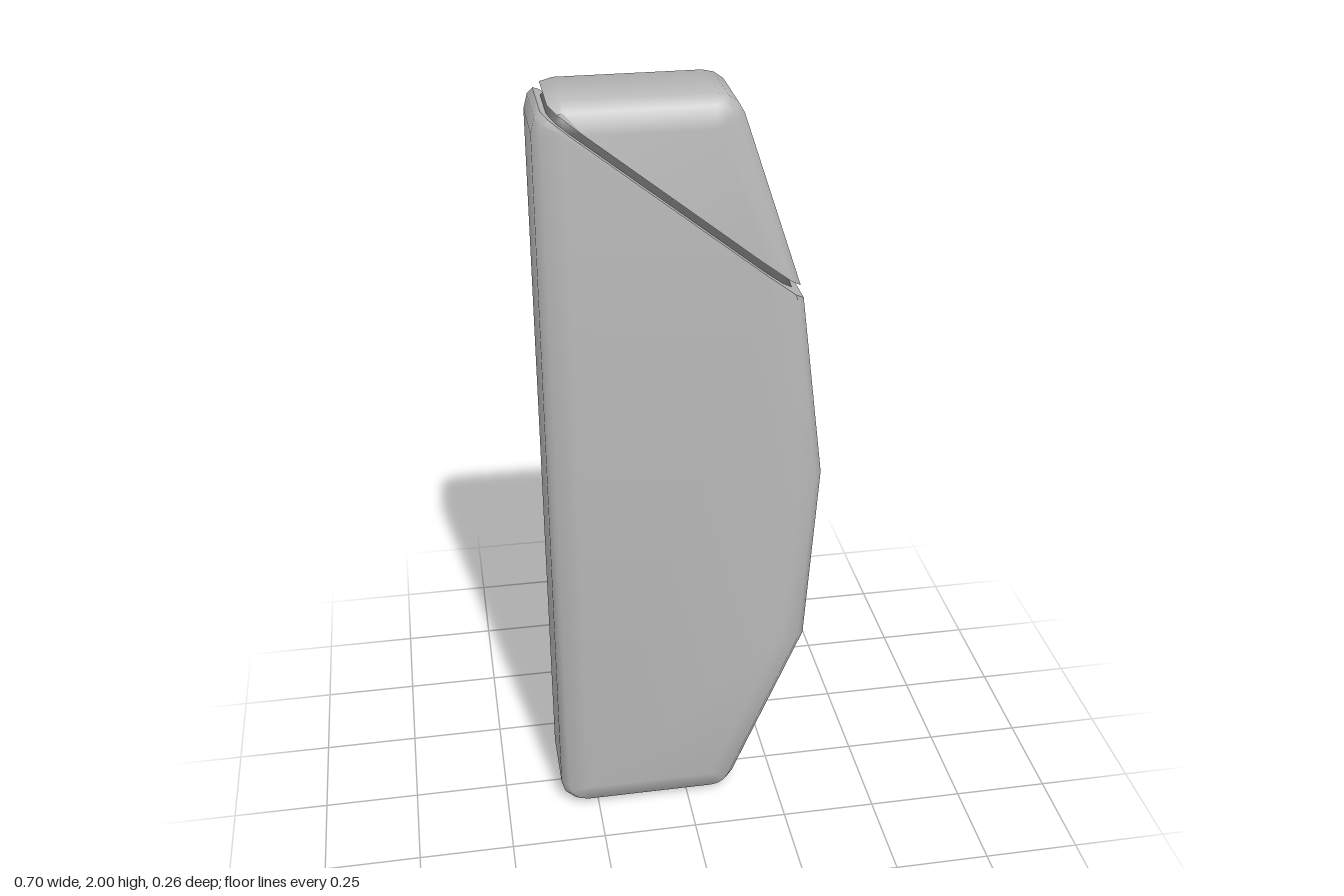
import * as THREE from 'three';
import { ConvexGeometry } from 'three/addons/geometries/ConvexGeometry.js';
import { toCreasedNormals } from 'three/addons/utils/BufferGeometryUtils.js';

// Sharp side outline, counter-clockwise
const OUTLINE = [[-0.35, 0], [0.115, 0], [0.32, 0.5], [0.348, 1], [0.283, 1.5], [0.115, 2], [-0.35, 2]]
  .map(([x, y]) => new THREE.Vector2(x, y));
const ROUND = 0.07;
// Rounded rim: [inset from outline, z]
const RIM = [[0, 0.09], [0.02, 0.117], [0.07, 0.128]];
// Slanted cut: normal and the distances of its two faces
const CUT = new THREE.Vector2(0.625, 0.781);
const CAP_CUT = CUT.dot(new THREE.Vector2(-0.31, 1.99));
const BODY_CUT = CAP_CUT - 0.02;

// Outline inset by d, with corners rounded by what is left of the radius
function insetOutline(d) {
  const n = OUTLINE.length;
  const normals = OUTLINE.map((p, i) => {
    const e = OUTLINE[(i + 1) % n].clone().sub(p).normalize();
    return new THREE.Vector2(e.y, -e.x);
  });
  const points = [];
  OUTLINE.forEach((p, i) => {
    const a = normals[(i + n - 1) % n], b = normals[i];
    const mid = a.clone().add(b);
    const centre = p.clone().addScaledVector(mid, -ROUND / (1 + a.dot(b)));
    const r = ROUND - d;
    const turn = Math.acos(a.dot(b));
    if (turn < 0.5 || r < 1e-4) {
      points.push(centre.addScaledVector(mid, r / (1 + a.dot(b))));
      return;
    }
    const steps = 3;
    for (let k = 0; k <= steps; k++) {
      const dir = a.clone().rotateAround(new THREE.Vector2(), turn * k / steps);
      points.push(centre.clone().addScaledVector(dir, r));
    }
  });
  return points;
}

// Keep the side of a polygon where sign * (CUT . p - dist) <= 0
function clip(points, dist, sign) {
  const out = [];
  points.forEach((p, i) => {
    const q = points[(i + 1) % points.length];
    const a = sign * (CUT.dot(p) - dist), b = sign * (CUT.dot(q) - dist);
    if (a <= 0) out.push(p);
    if (a * b < 0) out.push(p.clone().lerp(q, a / (a - b)));
  });
  return out;
}

// Convex part between two distances along the cut normal
function slab(name, material, low, high, shrink = 0) {
  const points = [];
  for (const [inset, z] of RIM) {
    const layer = clip(clip(insetOutline(Math.min(inset + shrink, ROUND)), high, 1), low, -1);
    for (const p of layer) {
      for (const s of [1, -1]) points.push(new THREE.Vector3(p.x, p.y, s * (z - shrink)));
    }
  }
  const geometry = toCreasedNormals(new ConvexGeometry(points), THREE.MathUtils.degToRad(43));
  const mesh = new THREE.Mesh(geometry, material);
  mesh.name = name;
  return mesh;
}

export function createModel() {
  const shell = new THREE.MeshStandardMaterial({ color: 0xb8b8b8 });
  shell.name = 'shell grey';
  const seam = new THREE.MeshStandardMaterial({ color: 0x606060 });
  seam.name = 'seam grey';

  const model = new THREE.Group();
  model.name = 'cappedCase';
  model.add(
    slab('body', shell, -10, BODY_CUT),
    slab('cap', shell, CAP_CUT, 10),
    // Recessed core that closes the seam between body and cap
    slab('seamCore', seam, BODY_CUT - 0.01, CAP_CUT + 0.01, 0.02),
  );
  return model;
}
